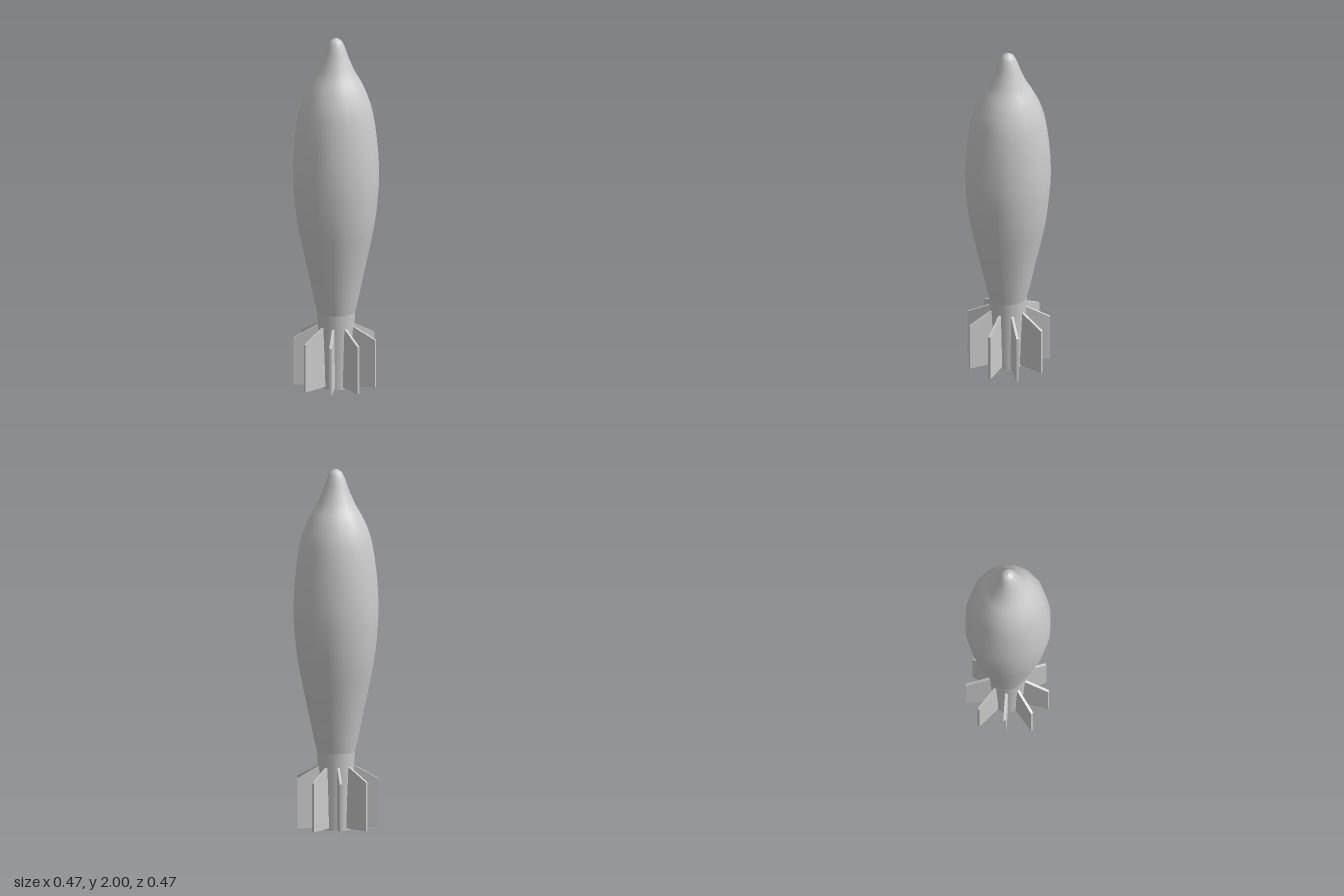
import * as THREE from 'three';

const SIDES = 16;
const FINS = 9;

export function createModel() {
  const model = new THREE.Group();
  model.name = 'finnedShell';
  const material = new THREE.MeshStandardMaterial({ color: 0xcccccc });

  // Smooth turned part from a few [radius, y] points, listed from bottom to top
  function turned(name, points, steps) {
    const curve = new THREE.SplineCurve(points.map(([r, y]) => new THREE.Vector2(r, y)));
    const profile = curve.getPoints(steps);
    profile.forEach((p) => { p.x = Math.max(p.x, 0); });
    const mesh = new THREE.Mesh(new THREE.LatheGeometry(profile, SIDES), material);
    mesh.name = name;
    model.add(mesh);
  }

  // Swelling main body with a rounded nose
  turned('body', [
    [0.208, 0.91], [0.224, 1.02], [0.237, 1.2], [0.228, 1.4], [0.2, 1.59], [0.158, 1.71],
    [0.108, 1.8], [0.073, 1.88], [0.05, 1.945], [0.03, 1.983], [0, 2],
  ], 40);

  // Tapering rear section
  turned('tailCone', [
    [0.106, 0.43], [0.122, 0.5], [0.143, 0.6], [0.186, 0.8], [0.208, 0.91],
  ], 12);

  // Tail tube carrying the fins, closed underneath
  turned('tailTube', [[0.085, 0], [0.093, 0.2], [0.106, 0.43]], 6);
  const cap = new THREE.Mesh(new THREE.CircleGeometry(0.085, SIDES), material);
  cap.name = 'tailCap';
  cap.rotation.x = Math.PI / 2;
  model.add(cap);

  // Thin fins with sloping tops, spaced evenly round the tube
  const thickness = 0.014;
  const outline = new THREE.Shape([
    [0.07, 0.012], [0.23, 0.012], [0.23, 0.283], [0.095, 0.355], [0.07, 0.355],
  ].map(([x, y]) => new THREE.Vector2(x, y)));
  const finGeometry = new THREE.ExtrudeGeometry(outline, { depth: thickness, bevelEnabled: false });
  finGeometry.translate(0, 0, -thickness / 2);

  const fins = new THREE.Group();
  fins.name = 'fins';
  fins.position.x = -0.003;
  for (let i = 0; i < FINS; i++) {
    const fin = new THREE.Mesh(finGeometry, material);
    fin.name = 'fin';
    // The outline points along +x; turn the first fin to the front
    fin.rotation.y = -Math.PI / 2 + THREE.MathUtils.degToRad(-2) + (i * Math.PI * 2) / FINS;
    fins.add(fin);
  }
  model.add(fins);

  return model;
}
